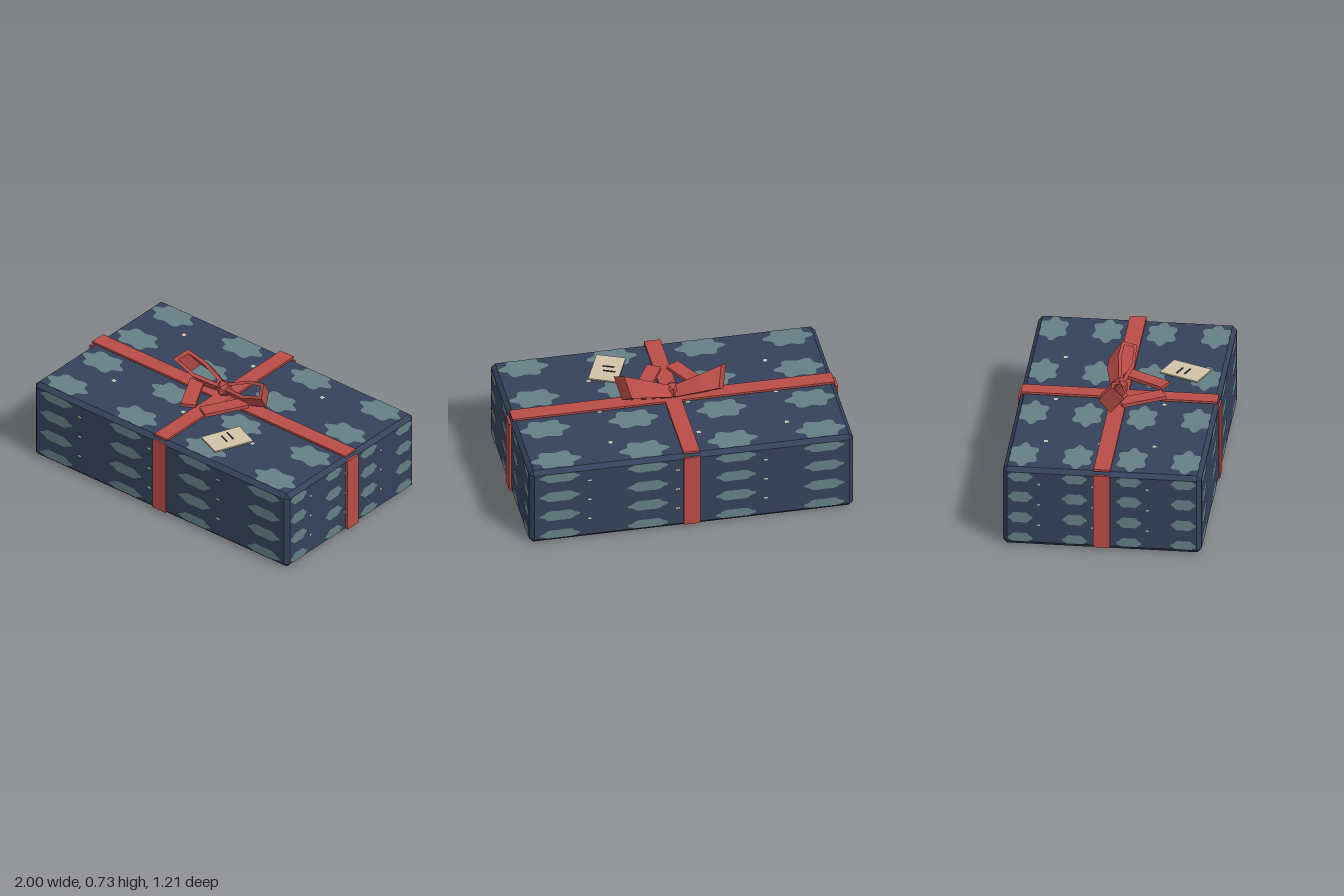
import * as THREE from 'three';
import { ConvexGeometry } from 'three/addons/geometries/ConvexGeometry.js';

const mat = (name, color, opts = {}) => {
  const m = new THREE.MeshStandardMaterial({ color, ...opts });
  m.name = name;
  return m;
};

export function createModel() {
  const root = new THREE.Group();
  root.name = 'giftBox';
  const paper = mat('navyPaper', 0x35425b);
  const starMat = mat('paleStar', 0x647f85);
  const red = mat('redRibbon', 0xb84c47, { flatShading: true });
  const cream = mat('creamCard', 0xd2c2a8);
  const ink = mat('darkInk', 0x1f2a3d);

  const add = (parent, name, geo, material, x = 0, y = 0, z = 0) => {
    const m = new THREE.Mesh(geo, material);
    m.name = name;
    m.position.set(x, y, z);
    parent.add(m);
    return m;
  };

  // Chamfered box
  const HX = 0.985, HY = 0.2575, HZ = 0.595, C = 0.026;
  const corners = [];
  for (const sx of [-1, 1]) for (const sy of [-1, 1]) for (const sz of [-1, 1]) {
    corners.push(
      new THREE.Vector3(sx * HX, sy * (HY - C), sz * (HZ - C)),
      new THREE.Vector3(sx * (HX - C), sy * HY, sz * (HZ - C)),
      new THREE.Vector3(sx * (HX - C), sy * (HY - C), sz * HZ));
  }
  add(root, 'box', new ConvexGeometry(corners), paper, 0, HY, 0);

  // Printed pattern: 4 x 4 wavy stars with small dots between, stretched to each face
  const pattern = (name, halfA, halfB, depth, cellA, cellB, side, rx, ry) => {
    const g = new THREE.Group();
    g.name = name;
    g.position.y = HY;
    g.rotation.set(rx, ry, 0);
    const limA = halfA - C, limB = halfB - C;
    const base = side ? 0.215 : 0.25, wave = side ? 0.018 : 0.038, tall = side ? 1.2 : 1.04;
    const clamp = THREE.MathUtils.clamp;
    const stars = [], dots = [];
    for (let i = 0; i < 4; i++) for (let j = 0; j < 4; j++) {
      const ca = (i - 1.5) * cellA, cb = (1.5 - j) * cellB;
      const pts = [];
      for (let k = 0; k < 48; k++) {
        const t = k / 48 * Math.PI * 2, r = base + wave * Math.cos(6 * t);
        pts.push(new THREE.Vector2(
          clamp(ca + r * Math.cos(t) * cellA, -limA, limA),
          clamp(cb + r * Math.sin(t) * cellB * tall, -limB, limB)));
      }
      stars.push(new THREE.Shape(pts));
      if (i < 3 && j < 3) {
        const a = ca + cellA * 0.34, b = cb - cellB * 0.35, w = cellA * 0.022, h = cellB * 0.035;
        dots.push(new THREE.Shape([[-w, -h], [w, -h], [w, h], [-w, h]]
          .map(([p, q]) => new THREE.Vector2(a + p, b + q))));
      }
    }
    add(g, 'stars', new THREE.ShapeGeometry(stars), starMat, 0, 0, depth + 0.002);
    add(g, 'dots', new THREE.ShapeGeometry(dots), cream, 0, 0, depth + 0.002);
    root.add(g);
  };
  const cx = 0.536, cy = 0.138, cz = 0.326, H = Math.PI / 2;
  pattern('topPattern', HX, HZ, HY, cx, cz, false, -H, 0);
  pattern('bottomPattern', HX, HZ, HY, cx, cz, false, H, 0);
  pattern('frontPattern', HX, HY, HZ, cx, cy, true, 0, 0);
  pattern('backPattern', HX, HY, HZ, cx, cy, true, 0, Math.PI);
  pattern('leftPattern', HZ, HY, HX, cz, cy, true, 0, H);
  pattern('rightPattern', HZ, HY, HX, cz, cy, true, 0, -H);

  // Ribbon strips over the lid and down each side
  add(root, 'longRibbon', new THREE.BoxGeometry(1.96, 0.013, 0.1), red, 0, 0.5275, 0);
  add(root, 'crossRibbon', new THREE.BoxGeometry(0.1, 0.014, 1.18), red, 0, 0.5278, 0);
  for (const s of [-1, 1]) {
    add(root, 'endRibbon', new THREE.BoxGeometry(0.016, 0.48, 0.1), red, s * 0.992, 0.26, 0);
    add(root, 'sideRibbon', new THREE.BoxGeometry(0.1, 0.48, 0.012), red, 0, 0.26, s * 0.599);
  }

  // Bow: two tilted loops that widen outward, a knot and two tails
  const bow = new THREE.Group();
  bow.name = 'bow';
  root.add(bow);
  const outer = [[0.01, 0.022], [0.16, 0.06], [0.28, 0.056], [0.325, -0.045], [0.18, -0.062], [0.01, -0.022]];
  const inner = [[0.045, 0.008], [0.165, 0.038], [0.265, 0.036], [0.298, -0.03], [0.18, -0.04], [0.045, -0.008]];
  for (const s of [-1, 1]) {
    const toVec = ([x, y]) => new THREE.Vector2(s * x, y);
    const shape = new THREE.Shape(outer.map(toVec));
    shape.holes.push(new THREE.Path(inner.map(toVec)));
    const geo = new THREE.ExtrudeGeometry(shape, { depth: 0.14, bevelEnabled: false });
    geo.translate(0, 0, -0.07);
    const p = geo.attributes.position;
    for (let i = 0; i < p.count; i++) {
      const u = Math.abs(p.getX(i)) / 0.325, w = p.getZ(i);
      p.setX(i, p.getX(i) + s * u * w * 0.25);
      p.setZ(i, w * (0.5 + 0.5 * u));
    }
    geo.rotateX(-0.9);
    for (let i = 0; i < p.count; i++) p.setY(i, p.getY(i) + Math.abs(p.getX(i)) * 0.23);
    geo.computeVertexNormals();
    add(bow, 'bowLoop', geo, red, 0, 0.575, -0.015);

    const tail = add(bow, 'bowTail', new THREE.BoxGeometry(0.09, 0.022, 0.28), red, s * 0.122, 0.569, 0.145);
    tail.rotation.y = -s * 0.5;
  }
  add(bow, 'knot', new THREE.IcosahedronGeometry(0.052, 0), red, 0, 0.583, 0);

  // Gift tag with two ink strokes
  const tag = new THREE.Group();
  tag.name = 'giftTag';
  tag.position.set(0.323, 0.532, 0.358);
  tag.rotation.y = -0.4;
  root.add(tag);
  add(tag, 'card', new THREE.BoxGeometry(0.178, 0.009, 0.255), cream);
  add(tag, 'stroke', new THREE.BoxGeometry(0.075, 0.004, 0.008), ink, -0.02, 0.007, -0.03);
  add(tag, 'stroke', new THREE.BoxGeometry(0.07, 0.004, 0.008), ink, -0.006, 0.007, 0.016);

  return root;
}
